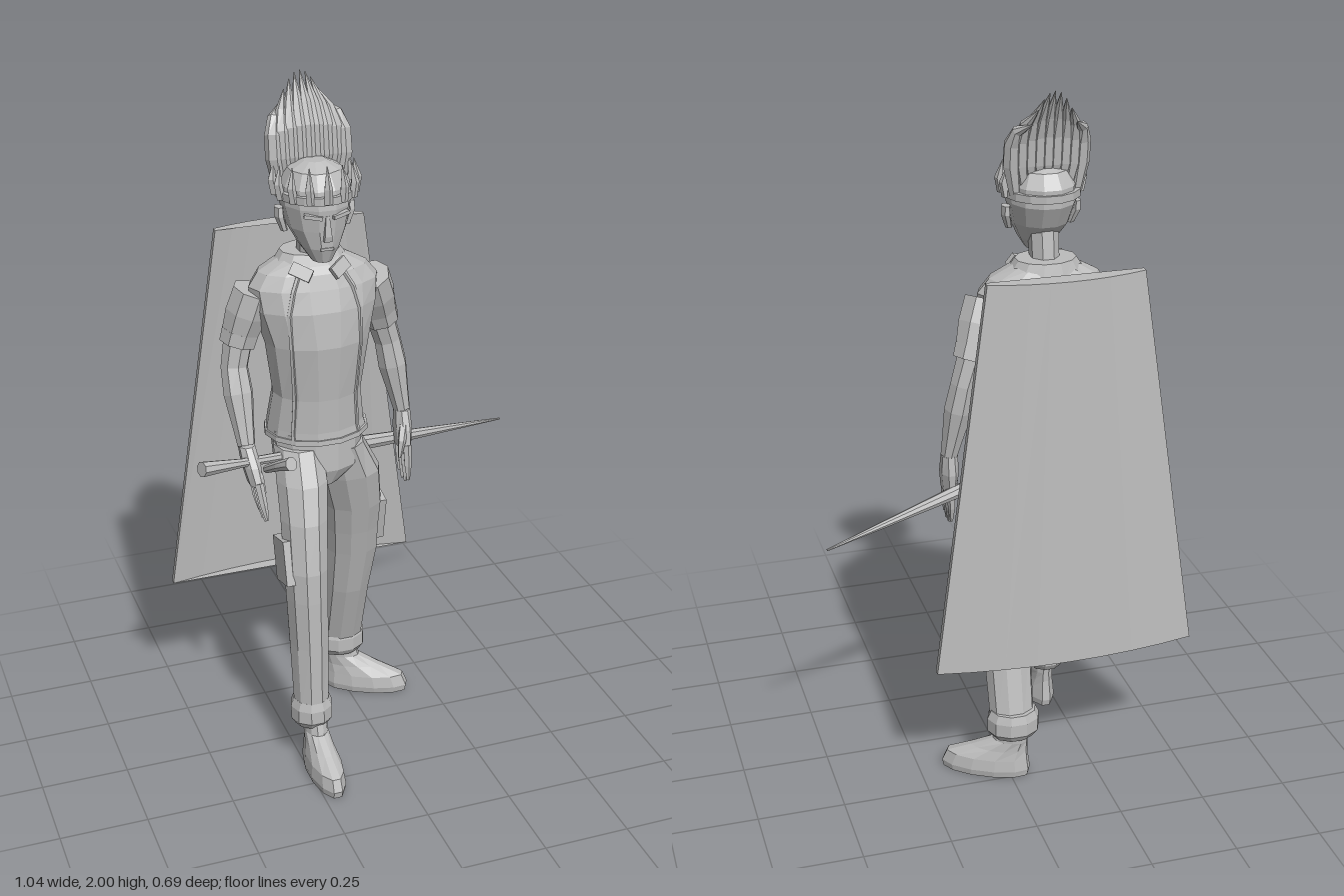
import * as THREE from 'three';

const clay = new THREE.MeshStandardMaterial({ color: 0xbcbcbc, flatShading: true, side: THREE.DoubleSide });
clay.name = 'clay grey';
const CX = -0.145; // middle of the figure
const V = (x, y, z) => new THREE.Vector3(x, y, z);

// Skin a list of equal rings, closing both ends
function skin(rings) {
  const n = rings[0].length, pos = [], idx = [];
  rings.forEach(r => r.forEach(p => pos.push(p.x, p.y, p.z)));
  for (let k = 0; k < rings.length - 1; k++)
    for (let i = 0; i < n; i++) {
      const a = k * n + i, b = k * n + (i + 1) % n;
      idx.push(a, b, b + n, a, b + n, a + n);
    }
  const top = (rings.length - 1) * n;
  for (let i = 1; i < n - 1; i++) idx.push(0, i + 1, i, top, top + i, top + i + 1);
  const g = new THREE.BufferGeometry();
  g.setAttribute('position', new THREE.Float32BufferAttribute(pos, 3));
  g.setIndex(idx);
  g.computeVertexNormals();
  return g;
}

// Horizontal oval sections [x, y, z, rx, rz], lowest first, turned by yaw
function loft(sections, sides = 10, yaw = 0) {
  return skin(sections.map(([x, y, z, rx, rz]) => Array.from({ length: sides }, (_, i) => {
    const a = (i + 0.5) / sides * Math.PI * 2;
    return V(Math.sin(a) * rx, 0, Math.cos(a) * rz).applyAxisAngle(V(0, 1, 0), yaw).add(V(x, y, z));
  })));
}

// Tapered limb through points [x, y, z, radius]
function limb(points, sides = 6) {
  const p = points.map(q => V(q[0], q[1], q[2]));
  return skin(p.map((c, k) => {
    const t = p[Math.min(k + 1, p.length - 1)].clone().sub(p[Math.max(k - 1, 0)]).normalize();
    const v = Math.abs(t.z) > 0.9 ? V(1, 0, 0) : V(0, 0, 1);
    v.addScaledVector(t, -v.dot(t)).normalize();
    const u = t.clone().cross(v);
    return Array.from({ length: sides }, (_, i) => {
      const a = i / sides * Math.PI * 2, r = points[k][3];
      return c.clone().addScaledVector(u, Math.sin(a) * r).addScaledVector(v, Math.cos(a) * r);
    });
  }));
}

export function createModel() {
  const model = new THREE.Group();
  model.name = 'caped swordsman';
  const add = (name, geo) => {
    const m = new THREE.Mesh(geo, clay);
    m.name = name;
    model.add(m);
    return m;
  };
  const box = (name, w, h, d, x, y, z, rx = 0, ry = 0, rz = 0) => {
    const m = add(name, new THREE.BoxGeometry(w, h, d));
    m.position.set(x, y, z);
    m.rotation.set(rx, ry, rz);
  };

  // Cape: flared, curved slab leaning back
  const capeRing = (y, half, ends, mid) => {
    const row = off => Array.from({ length: 9 }, (_, i) => {
      const t = i / 4 - 1;
      return V(-0.14 + half * t, y, mid + (ends - mid) * t * t + off);
    });
    return [...row(0.019), ...row(0).reverse()];
  };
  add('cape', skin([capeRing(0.425, 0.375, -0.309, -0.347), capeRing(1.54, 0.218, -0.263, -0.297)]));

  // Shirt, collar and neck
  const shirt = [
    [-0.132, 0.99, -0.067, 0.146, 0.127], [-0.135, 1.02, -0.065, 0.14, 0.123],
    [-0.135, 1.12, -0.05, 0.127, 0.112], [-0.137, 1.28, -0.032, 0.15, 0.11],
    [-0.14, 1.38, -0.04, 0.178, 0.108], [-0.14, 1.44, -0.048, 0.185, 0.098],
    [-0.142, 1.48, -0.052, 0.155, 0.088], [-0.143, 1.515, -0.055, 0.09, 0.07]];
  add('shirt', loft(shirt, 14));
  add('shirtHem', loft([[-0.132, 0.985, -0.067, 0.151, 0.132], [-0.132, 1.0, -0.067, 0.15, 0.131]], 14));
  add('collar', loft([[CX, 1.485, -0.053, 0.115, 0.085], [CX, 1.53, -0.058, 0.085, 0.068]], 12));
  add('neck', loft([[CX, 1.48, -0.05, 0.05, 0.055], [CX, 1.53, -0.045, 0.041, 0.045], [CX, 1.62, -0.03, 0.042, 0.046]], 8));
  for (const s of [-1, 1]) {
    box('collarFlap', 0.06, 0.035, 0.012, CX + s * 0.055, 1.495, 0.032, -0.5, s * 0.35, s * 0.6);
    // raised seams down the chest
    const seam = shirt.slice(0, 7).map(([x, y, z, rx, rz], k) => {
      const dx = [0.095, 0.093, 0.088, 0.098, 0.1, 0.085, 0.065][k];
      return [x + s * dx, y, z + rz * 0.97 * Math.sqrt(1 - (dx / rx) ** 2), 0.007];
    });
    add('chestSeam', limb(seam, 5));
  }

  // Head, face and ears
  add('head', loft([
    [CX, 1.53, 0.04, 0.028, 0.035], [CX, 1.57, 0.022, 0.055, 0.068], [CX, 1.62, 0.002, 0.081, 0.092],
    [CX, 1.68, -0.01, 0.095, 0.11], [CX, 1.73, -0.013, 0.094, 0.107], [CX, 1.77, -0.014, 0.072, 0.08],
    [CX, 1.79, -0.014, 0.03, 0.035]], 12));
  add('nose', loft([[CX, 1.595, 0.088, 0.016, 0.017], [CX, 1.61, 0.09, 0.014, 0.018], [CX, 1.665, 0.09, 0.007, 0.01]], 4));
  box('mouth', 0.036, 0.007, 0.012, CX, 1.572, 0.085);
  for (const s of [-1, 1]) {
    box('brow', 0.05, 0.01, 0.015, CX + s * 0.038, 1.665, 0.091, 0, s * 0.3, s * 0.15);
    add('ear', loft([[CX + s * 0.088, 1.605, -0.005, 0.01, 0.01], [CX + s * 0.1, 1.645, -0.012, 0.013, 0.023],
      [CX + s * 0.1, 1.67, -0.014, 0.012, 0.02]], 6));
  }

  // Crown: band with pointed tips around the front
  add('crownBand', loft([[CX, 1.697, -0.01, 0.108, 0.117], [CX, 1.718, -0.01, 0.108, 0.117]], 16));
  for (let i = -4; i <= 4; i++) {
    const a = i * 0.44, x = CX + Math.sin(a) * 0.106, z = -0.01 + Math.cos(a) * 0.112;
    add('crownPoint', limb([[x, 1.7, z, 0.012], [x + Math.sin(a) * 0.008, 1.74, z, 0.012], [x, 1.8 - Math.abs(i) * 0.004, z - 0.008, 0.001]], 5));
  }

  // Swept-up fan of hair
  for (let i = -4; i <= 4; i++) {
    const t = i / 4, q = 1 - t * t;
    add('hairStrand', limb([
      [CX + 0.085 * t, 1.71 + 0.05 * q, -0.05, 0.017], [CX + 0.096 * t, 1.79, -0.052, 0.025],
      [CX + 0.096 * t, 1.85 + 0.02 * q, -0.06, 0.024], [CX + 0.088 * t, 1.89 + 0.035 * q, -0.082, 0.016],
      [CX + 0.06 * t, 1.915 + 0.085 * q, -0.125, 0.001]], 7));
  }

  // Trousers, pockets and cuffs
  add('hips', loft([[-0.14, 0.85, -0.03, 0.06, 0.07], [-0.14, 0.9, -0.035, 0.125, 0.095], [-0.138, 1.01, -0.05, 0.133, 0.105]], 12));
  add('rightTrouserLeg', loft([
    [-0.22, 0.2, 0.125, 0.052, 0.056], [-0.22, 0.4, 0.11, 0.057, 0.068], [-0.222, 0.55, 0.105, 0.061, 0.072],
    [-0.222, 0.64, 0.098, 0.064, 0.075], [-0.215, 0.78, 0.065, 0.068, 0.078], [-0.205, 0.88, 0.02, 0.074, 0.085],
    [-0.2, 0.97, -0.03, 0.07, 0.085]]));
  add('leftTrouserLeg', loft([
    [-0.01, 0.2, -0.215, 0.066, 0.055], [-0.01, 0.4, -0.16, 0.07, 0.064], [-0.005, 0.55, -0.125, 0.08, 0.067],
    [-0.01, 0.63, -0.108, 0.082, 0.07], [-0.015, 0.72, -0.09, 0.088, 0.077], [-0.04, 0.84, -0.065, 0.098, 0.085],
    [-0.075, 0.95, -0.05, 0.075, 0.09]]));
  const cuff = (name, x, z, rx, rz) => add(name, loft([
    [x, 0.135, z, rx * 0.8, rz * 0.8], [x, 0.155, z, rx, rz], [x, 0.195, z, rx, rz], [x, 0.22, z, rx * 0.85, rz * 0.88]]));
  cuff('rightCuff', -0.22, 0.125, 0.062, 0.063);
  cuff('leftCuff', -0.012, -0.222, 0.078, 0.064);
  box('rightPocket', 0.025, 0.13, 0.1, -0.281, 0.66, 0.085, -0.25);
  box('leftPocket', 0.025, 0.14, 0.1, 0.07, 0.655, -0.125, 0.2);

  // Boots: long sole, low toe, ankle at the back
  const boot = (name, x, z, yaw) => {
    const m = add(name, loft([
      [0, 0, 0.085, 0.046, 0.13], [0, 0.02, 0.085, 0.05, 0.134], [0, 0.055, 0.08, 0.046, 0.124],
      [0, 0.085, 0.045, 0.038, 0.085], [0, 0.115, 0.012, 0.034, 0.052], [0, 0.18, 0, 0.034, 0.044]], 12));
    m.position.set(x, 0, z);
    m.rotation.y = yaw;
  };
  boot('rightBoot', -0.213, 0.128, 0);
  boot('leftBoot', -0.015, -0.225, 1.08);

  // Arms: sleeve, rolled edge, bare arm, palm and fingers
  const arm = (side, shoulder, sleeve, elbow, wrist, tip) => {
    const mix = (a, b, t) => a.map((v, k) => v + (b[k] - v) * t);
    add(side + 'Sleeve', limb([[...shoulder, 0.06], [...mix(shoulder, sleeve, 0.45), 0.062], [...sleeve, 0.051]], 8));
    const roll = mix(sleeve, elbow, 0.15);
    add(side + 'SleeveEdge', limb([[...mix(shoulder, sleeve, 0.82), 0.055], [...roll, 0.053]], 8));
    add(side + 'Arm', limb([[...sleeve, 0.042], [...elbow, 0.039], [...mix(elbow, wrist, 0.35), 0.042],
      [...mix(elbow, wrist, 0.75), 0.031], [...wrist, 0.025]], 8));
    const knuckle = mix(wrist, tip, 0.5);
    add(side + 'Palm', loft([[...knuckle, 0.021, 0.045], [...mix(wrist, tip, 0.25), 0.026, 0.042], [...wrist, 0.024, 0.026]], 8));
    for (let f = 0; f < 4; f++) {
      const dz = (f - 1.5) * 0.022, len = f === 0 || f === 3 ? 0.88 : 1;
      const end = mix(knuckle, tip, len);
      add(side + 'Finger', limb([[knuckle[0], knuckle[1] + 0.01, knuckle[2] + dz, 0.013],
        [...mix(knuckle, end, 0.55).map((v, k) => k === 2 ? v + dz * 1.1 : v), 0.011], [end[0], end[1], end[2] + dz * 1.1, 0.005]], 5));
    }
    const inward = side === 'left' ? -1 : 1;
    add(side + 'Thumb', limb([[wrist[0], wrist[1] - 0.03, wrist[2] + 0.02, 0.014],
      [wrist[0] + inward * 0.02, wrist[1] - 0.08, wrist[2] + 0.055, 0.012], [wrist[0] + inward * 0.03, wrist[1] - 0.125, wrist[2] + 0.065, 0.005]], 5));
  };
  arm('right', [-0.305, 1.425, -0.06], [-0.35, 1.285, -0.075], [-0.365, 1.205, -0.07], [-0.36, 1.0, 0.01], [-0.335, 0.8, 0.085]);
  arm('left', [0.025, 1.425, -0.06], [0.075, 1.285, -0.105], [0.1, 1.205, -0.11], [0.138, 0.99, -0.09], [0.135, 0.775, -0.06]);

  // Sword slung through the belt, with a second short handle
  add('swordHilt', limb([[-0.51, 0.987, 0.09, 0.022], [-0.47, 0.98, 0.076, 0.019], [-0.385, 0.966, 0.049, 0.013], [-0.2, 0.937, -0.011, 0.014]], 8));
  add('swordBlade', limb([[-0.2, 0.937, -0.011, 0.018], [0.01, 0.904, -0.08, 0.022], [0.155, 0.881, -0.127, 0.018], [0.52, 0.826, -0.246, 0.003]], 8));
  add('shortHandle', limb([[-0.265, 0.975, 0.12, 0.02], [-0.285, 0.95, 0.07, 0.015], [-0.3, 0.91, 0.0, 0.012]], 8));
  return model;
}
